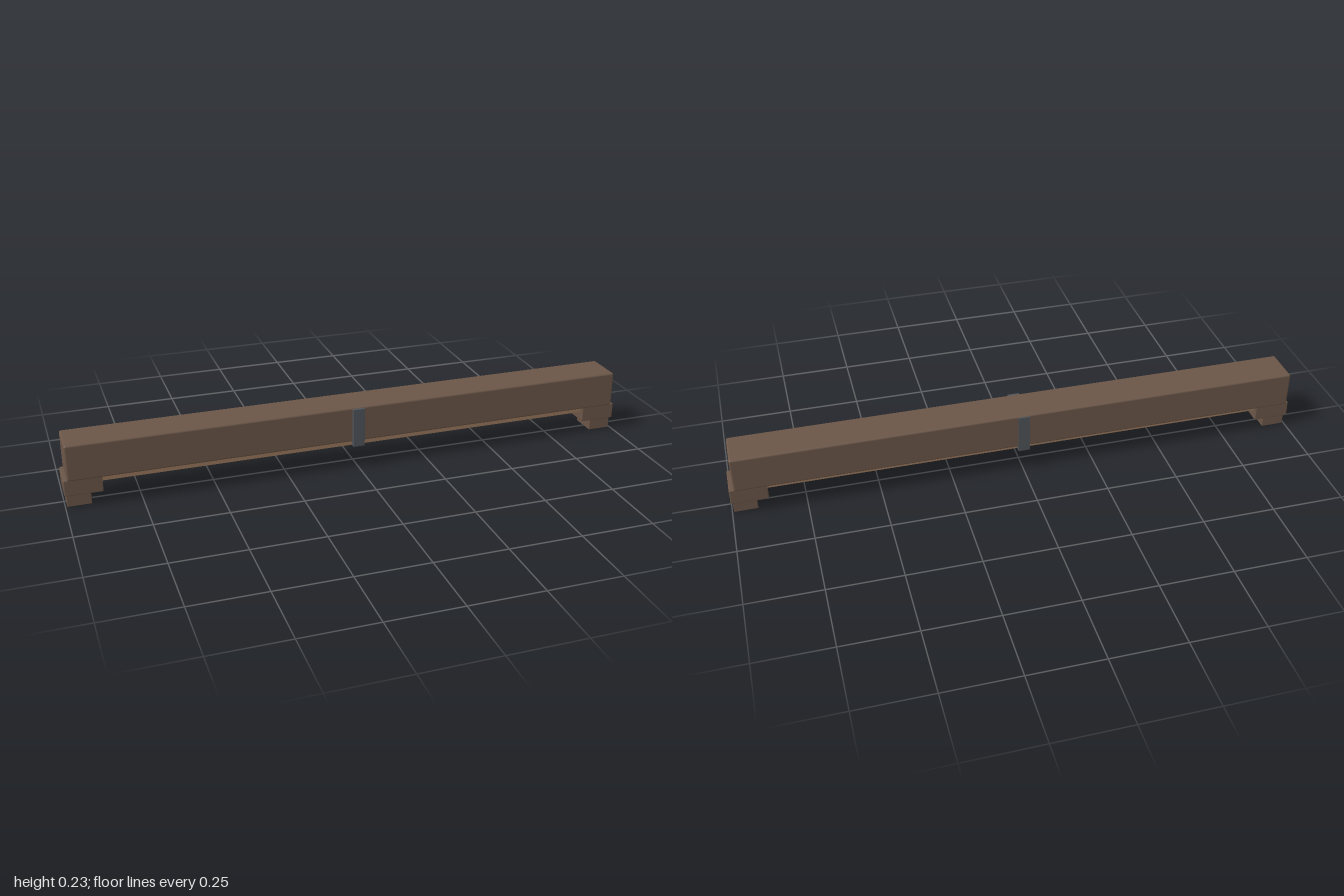
import * as THREE from 'three';
import { RoundedBoxGeometry } from 'three/addons/geometries/RoundedBoxGeometry.js';

const wood = new THREE.MeshStandardMaterial({ color: 0x6b5648 });
const paleWood = new THREE.MeshStandardMaterial({ color: 0x98785c });
const iron = new THREE.MeshStandardMaterial({ color: 0x50555a });

// Box given by its [min, max] range on each axis, with rounded edges
function block(name, [x0, x1], [y0, y1], [z0, z1], radius, material) {
  const geometry = new RoundedBoxGeometry(x1 - x0, y1 - y0, z1 - z0, 2, radius);
  const mesh = new THREE.Mesh(geometry, material);
  mesh.position.set((x0 + x1) / 2, (y0 + y1) / 2, (z0 + z1) / 2);
  mesh.name = name;
  return mesh;
}

export function createModel() {
  const model = new THREE.Group();
  model.name = 'supportedBeam';

  // Main beam and the pale strip under it
  model.add(block('beam', [-0.988, 0.984], [0.1, 0.226], [-0.0705, 0.067], 0.007, wood));
  model.add(block('undersideStrip', [-0.9, 0.9], [0.075, 0.102], [-0.043, 0.039], 0.001, paleWood));

  // Stepped corbel at each end
  for (const [side, s] of [['left', 1], ['right', -1]]) {
    const span = (inner, outer) => (s > 0 ? [inner, outer] : [-outer, -inner]);
    const corbel = new THREE.Group();
    corbel.name = `${side}Corbel`;
    corbel.add(block('corbelBlock', span(0.874, 1), [0.043, 0.1], [-0.06, 0.055], 0.004, wood));
    corbel.add(block('corbelFoot', span(0.914, 0.994), [0, 0.044], [-0.0475, 0.044], 0.002, wood));
    model.add(corbel);
  }

  // Iron straps on the front and back faces
  for (const [name, z] of [['frontStrap', [0.056, 0.076]], ['backStrap', [-0.0745, -0.0545]]]) {
    model.add(block(name, [-0.022, 0.019], [0.084, 0.222], z, 0.001, iron));
  }
  return model;
}
